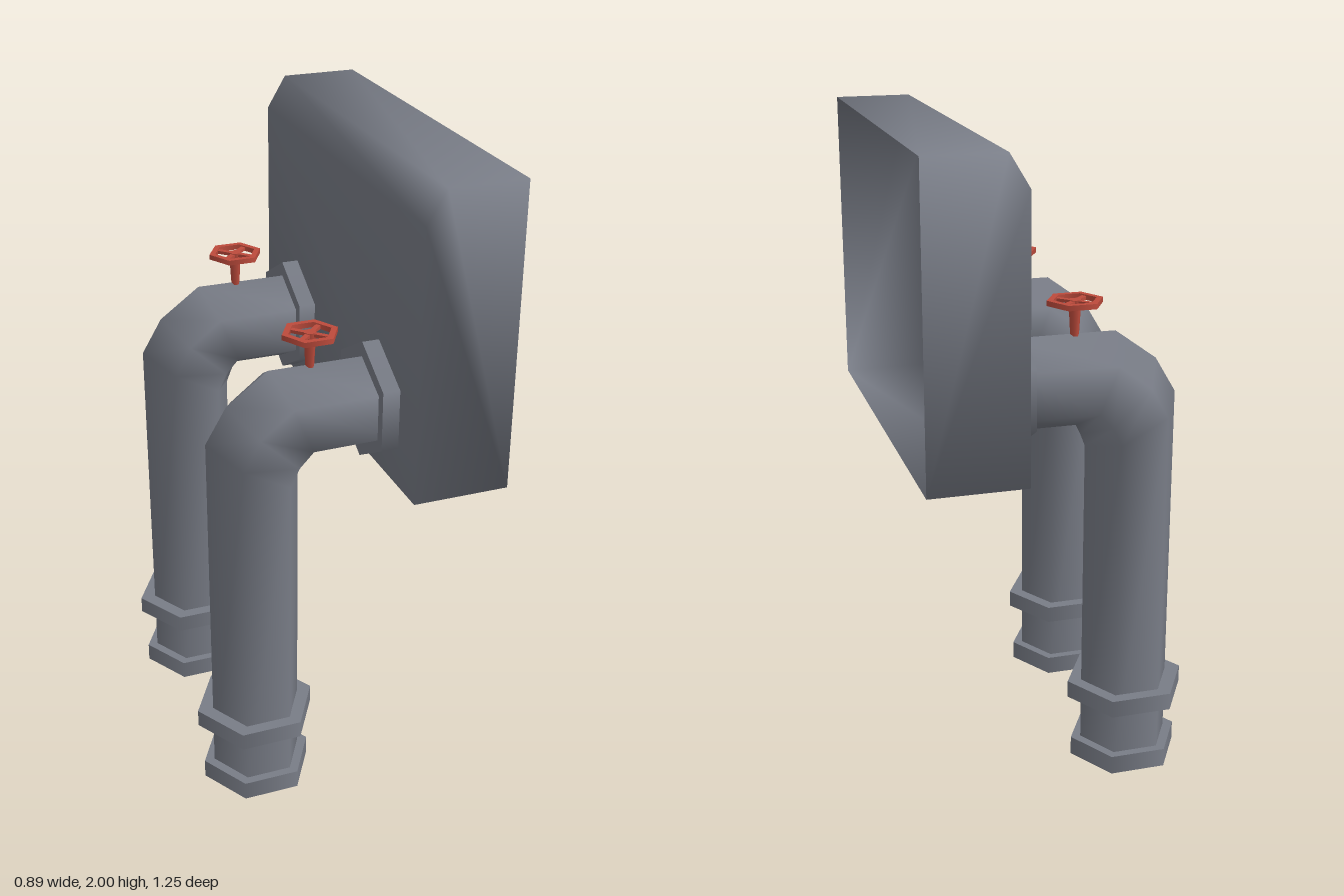
import * as THREE from 'three';

const grey = new THREE.MeshStandardMaterial({ color: 0x797d87, side: THREE.DoubleSide });
grey.name = 'pipe grey';
const red = new THREE.MeshStandardMaterial({ color: 0xbd4b3c });
red.name = 'valve red';

function add(parent, name, geometry, material, x = 0, y = 0, z = 0) {
  const mesh = new THREE.Mesh(geometry, material);
  mesh.name = name;
  mesh.position.set(x, y, z);
  parent.add(mesh);
  return mesh;
}

// Six-sided turned part, corners on the x axis; doubled points keep profile corners sharp
function hexLathe(profile) {
  const points = profile.flatMap(([r, y], i) => {
    const inner = i > 0 && i < profile.length - 1;
    return Array.from({ length: inner ? 2 : 1 }, () => new THREE.Vector2(r, y));
  });
  return new THREE.LatheGeometry(points, 6, Math.PI / 2);
}

function smoothGeometry(positions, index) {
  const g = new THREE.BufferGeometry();
  g.setAttribute('position', new THREE.Float32BufferAttribute(positions, 3));
  g.setIndex(index);
  g.computeVertexNormals();
  return g;
}

// Bent six-sided open tube lofted through cross-sections
function pipeGeometry() {
  // outer x, outer y, inner x, inner y, half width in z
  const sections = [
    [-0.395, 0.06, -0.11, 0.06, 0.125],
    [-0.395, 1.21, -0.11, 1.06, 0.135],
    [-0.33, 1.32, -0.095, 1.1, 0.135],
    [-0.2, 1.415, -0.08, 1.13, 0.135],
    [0.14, 1.415, 0.14, 1.13, 0.13],
  ];
  const positions = [], index = [];
  sections.forEach(([ox, oy, ix, iy, w], s) => {
    for (let j = 0; j < 6; j++) {
      const a = j * Math.PI / 3, t = (1 + Math.cos(a)) / 2;
      positions.push(ix + (ox - ix) * t, iy + (oy - iy) * t, Math.sin(a) * w / Math.sin(Math.PI / 3));
      if (s === 0) continue;
      const k = (j + 1) % 6, lo = (s - 1) * 6, hi = s * 6;
      index.push(lo + j, lo + k, hi + k, lo + j, hi + k, hi + j);
    }
  });
  return smoothGeometry(positions, index);
}

// Hollow wall box, open towards +x, with a chamfered top back edge
function panelGeometry() {
  const profile = [[0.443, 1.057], [0.143, 1.057], [0.143, 1.9], [0.203, 2], [0.443, 2]];
  const positions = [], index = [];
  profile.forEach(([x, y], i) => {
    positions.push(x, y, 0.625, x, y, -0.625);
    const a = 2 * i, b = a + 2;
    if (i === profile.length - 1) return;
    index.push(a, b, b + 1, a, b + 1, a + 1); // bottom, back, chamfer, top
    if (i > 0) index.push(0, b, a, 1, a + 1, b + 1); // two end walls
  });
  return smoothGeometry(positions, index);
}

// Hexagonal hand wheel on a tapered stem
function createValve() {
  const valve = new THREE.Group();
  valve.name = 'valve';
  add(valve, 'valveStem', new THREE.CylinderGeometry(0.02, 0.013, 0.118, 6).rotateY(Math.PI / 2), red, 0, 1.459);
  const rim = hexLathe([[0.066, 0.016], [0.066, 0], [0.086, 0], [0.086, 0.016], [0.066, 0.016]]);
  add(valve, 'wheelRim', rim, red, 0, 1.504);
  for (const side of [-1, 1]) {
    const spoke = add(valve, 'wheelSpoke', new THREE.BoxGeometry(0.14, 0.01, 0.016), red, 0, 1.511);
    spoke.rotation.y = side * Math.PI / 4;
  }
  return valve;
}

function createPipe() {
  const pipe = new THREE.Group();
  pipe.name = 'pipe';
  add(pipe, 'bentTube', pipeGeometry(), grey);
  // flared foot, open underneath
  add(pipe, 'baseRing', hexLathe([[0.175, 0], [0.175, 0.06], [0.142, 0.06]]), grey, -0.253);
  const ring = hexLathe([[0.135, 0], [0.19, 0], [0.19, 0.055], [0.135, 0.055]]);
  add(pipe, 'upperRing', ring, grey, -0.255, 0.21);
  // collar whose edge just reaches through the panel's back wall
  const collar = hexLathe([[0.135, 0], [0.187, 0], [0.187, 0.055]]).rotateZ(-Math.PI / 2);
  add(pipe, 'wallCollar', collar, grey, 0.09, 1.274);
  const valve = createValve();
  valve.position.x = -0.073;
  pipe.add(valve);
  return pipe;
}

export function createModel() {
  const model = new THREE.Group();
  model.name = 'wallPipes';
  add(model, 'wallPanel', panelGeometry(), grey);
  for (const z of [-0.343, 0.34]) {
    const pipe = createPipe();
    pipe.position.z = z;
    model.add(pipe);
  }
  return model;
}
